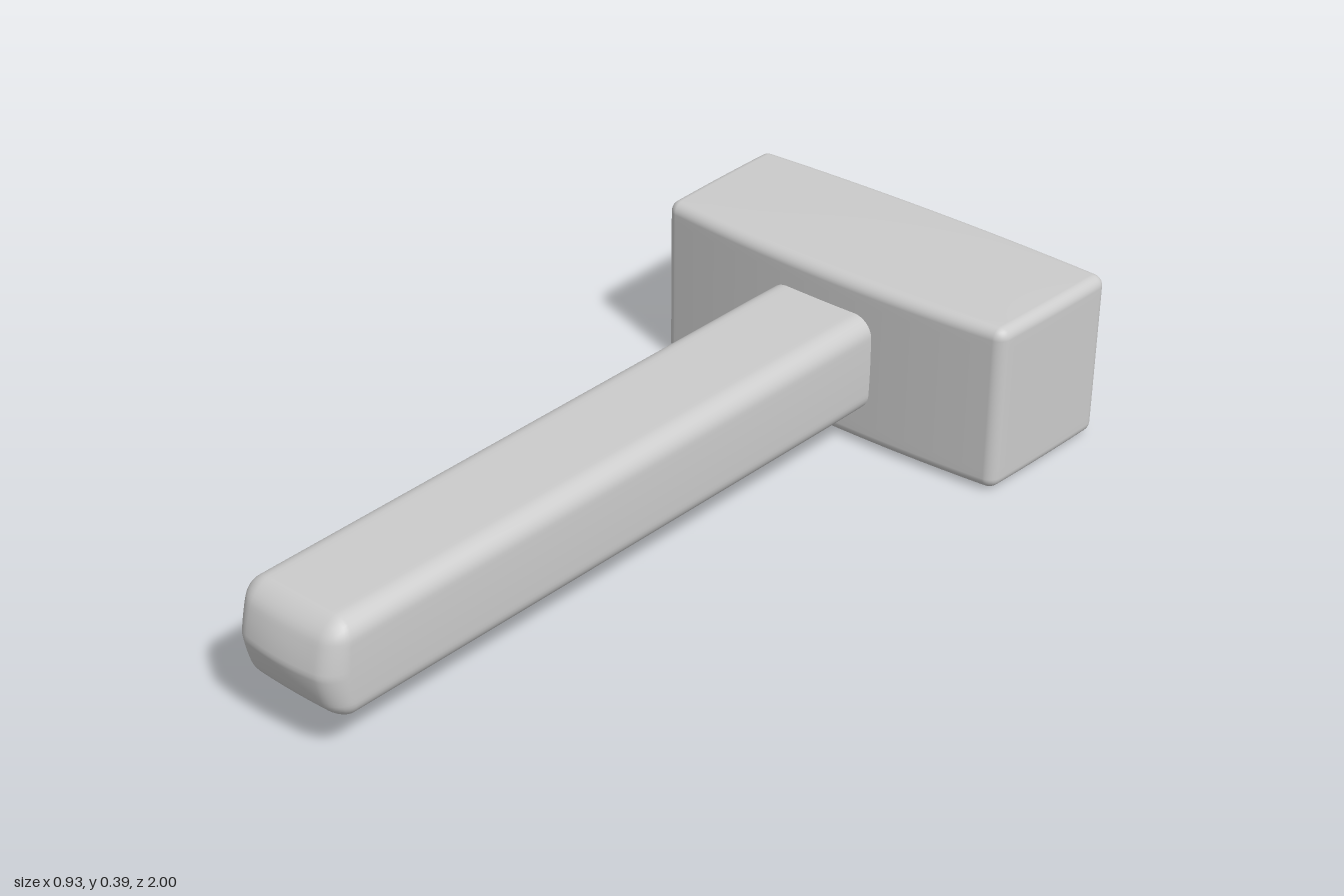
import * as THREE from 'three';
import { mergeVertices } from 'three/addons/utils/BufferGeometryUtils.js';

const CORNER = 4; // grid steps spent on each rounded edge
const STEPS = 24;

// Rounded box with finely divided faces, then reshaped by a vertex rule.
function softBox(halfSizes, radius, rule) {
  const g = new THREE.BoxGeometry(2, 2, 2, STEPS, STEPS, STEPS);
  g.deleteAttribute('uv');
  g.deleteAttribute('normal');
  const pos = g.attributes.position;
  const inner = new THREE.Vector3();
  const dir = new THREE.Vector3();
  for (let i = 0; i < pos.count; i++) {
    for (let a = 0; a < 3; a++) {
      const u = pos.getComponent(i, a);
      const step = Math.round((Math.abs(u) * STEPS) / 2);
      const flat = STEPS / 2 - CORNER;
      const core = halfSizes[a] - radius;
      const bend = Math.max(0, step - flat) / CORNER;
      inner.setComponent(a, Math.sign(u) * core * Math.min(1, step / flat));
      dir.setComponent(a, Math.sign(u) * Math.tan(bend * Math.PI / 4));
    }
    inner.addScaledVector(dir.normalize(), radius);
    rule(inner);
    pos.setXYZ(i, inner.x, inner.y, inner.z);
  }
  const out = mergeVertices(g, 1e-5);
  out.computeVertexNormals();
  return out;
}

const hump = (t) => Math.max(0, 1 - t * t);

export function createModel() {
  const group = new THREE.Group();
  const material = new THREE.MeshStandardMaterial({ color: 0xcccccc });
  const add = (name, geometry, x, y, z) => {
    const mesh = new THREE.Mesh(geometry, material);
    mesh.name = name;
    mesh.position.set(x, y, z);
    group.add(mesh);
  };

  // Block head: gently swollen long faces, ends slightly narrower at the front
  const head = softBox([0.46, 0.19, 0.178], 0.025, (p) => {
    const x = p.x / 0.46, y = p.y / 0.19, z = p.z / 0.178;
    p.x *= 1 - 0.014 * z + 0.004 * hump(z);
    p.y += 0.005 * y * hump(x) * hump(z);
    // Front swells around the handle socket, the back less so
    p.z += z > 0 ? z * 0.025 * hump(x) : z * 0.014 * hump(x);
  });
  add('head', head, 0, 0.195, -0.752);

  // Handle: slightly tapered shaft through the head, with a wedge-domed grip end
  const handle = softBox([0.13, 0.111, 0.98], 0.042, (p) => {
    const x = p.x / 0.13, y = p.y / 0.111, z = p.z / 0.98;
    const swell = Math.max(0, 1 - Math.abs(z + 0.5) / 1.5);
    p.x *= 1 + 0.05 * swell + 0.025 * hump(y);
    p.y *= 0.97 + 0.06 * swell;
    const end = THREE.MathUtils.smoothstep(z, 0.9, 1);
    const ridge = 0.5 * hump(y) + 0.5 * (1 - Math.abs(y));
    p.z += end * (0.04 * ridge * (0.6 + 0.4 * hump(x)) - 0.02);
    // Blunt rear end showing behind the head
    if (z < -0.9) p.z -= 0.02;
  });
  add('handle', handle, 0, 0.197, 0);

  return group;
}
